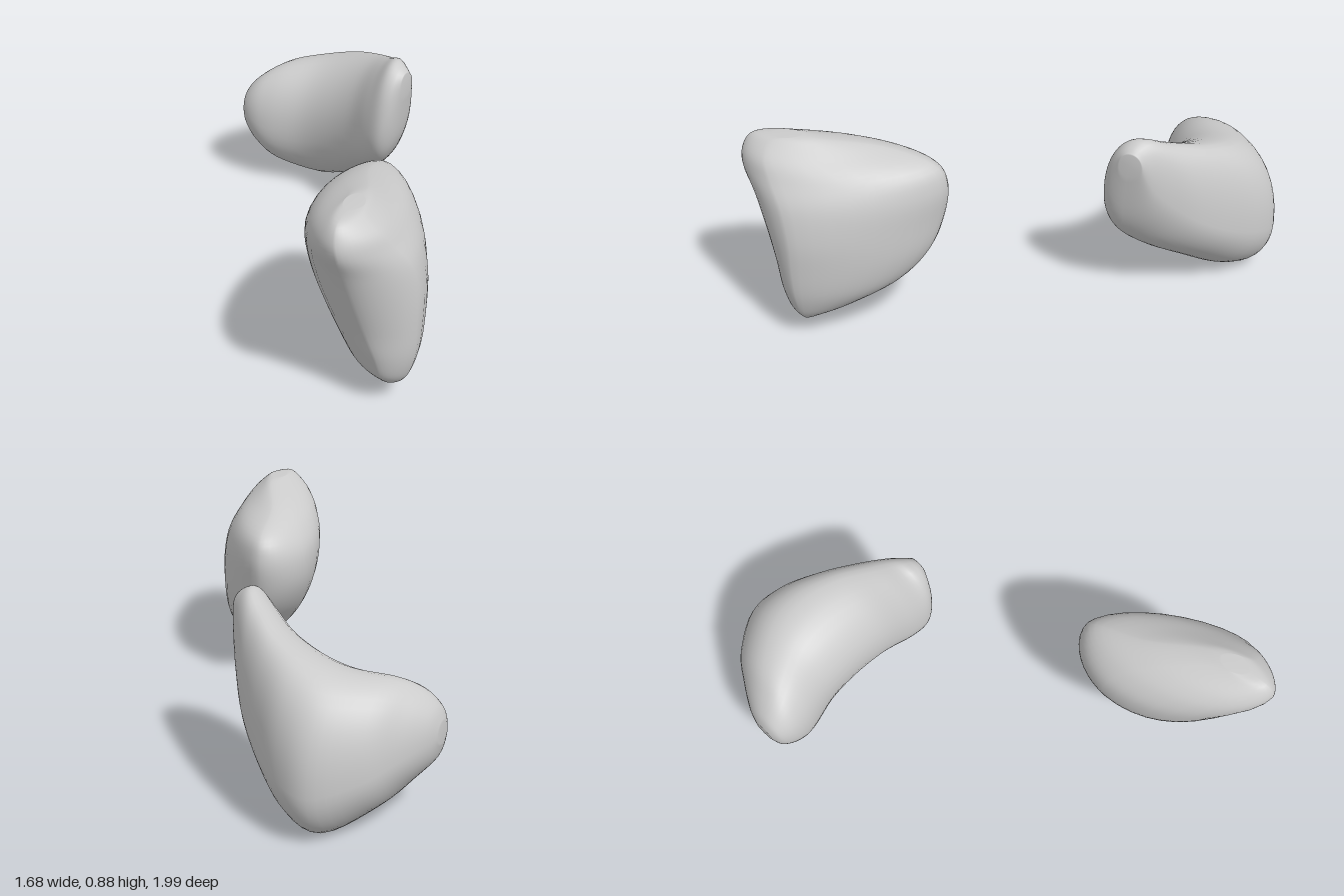
import * as THREE from 'three';

const SIDES = 40;
const STEPS = 50;

// Each section row: position on the axis, then the four extreme points of the
// outline as [aMin, b there, aMax, b there, bMin, a there, bMax, a there].

// Curved stone, sections along x with a = z and b = y
const curvedSections = [
  [-0.84, -0.58, 0.37, -0.49, 0.37, 0.33, -0.53, 0.42, -0.53],
  [-0.815, -0.65, 0.36, -0.445, 0.36, 0.255, -0.52, 0.48, -0.54],
  [-0.75, -0.765, 0.32, -0.42, 0.34, 0.175, -0.53, 0.545, -0.57],
  [-0.66, -0.89, 0.27, -0.425, 0.31, 0.085, -0.61, 0.595, -0.64],
  [-0.5, -0.995, 0.22, -0.465, 0.32, 0.0, -0.78, 0.63, -0.73],
  [-0.35, -0.965, 0.25, -0.46, 0.36, 0.045, -0.76, 0.67, -0.74],
  [-0.2, -0.86, 0.32, -0.425, 0.41, 0.15, -0.66, 0.715, -0.68],
  [-0.08, -0.75, 0.41, -0.37, 0.46, 0.245, -0.55, 0.765, -0.58],
  [0.0, -0.65, 0.51, -0.35, 0.51, 0.34, -0.46, 0.805, -0.51],
  [0.05, -0.58, 0.6, -0.375, 0.6, 0.46, -0.45, 0.79, -0.49],
  [0.08, -0.53, 0.71, -0.435, 0.71, 0.66, -0.47, 0.765, -0.48],
];

// Upright stone, sections along y with a = x and b = z
const uprightSections = [
  [0.085, 0.68, 0.7, 0.745, 0.7, 0.675, 0.71, 0.725, 0.72],
  [0.1, 0.63, 0.69, 0.77, 0.7, 0.64, 0.7, 0.75, 0.72],
  [0.15, 0.52, 0.64, 0.8, 0.7, 0.52, 0.64, 0.79, 0.72],
  [0.24, 0.42, 0.56, 0.825, 0.7, 0.36, 0.54, 0.82, 0.71],
  [0.36, 0.325, 0.48, 0.835, 0.7, 0.26, 0.46, 0.85, 0.68],
  [0.5, 0.265, 0.44, 0.835, 0.7, 0.215, 0.41, 0.895, 0.66],
  [0.64, 0.26, 0.44, 0.815, 0.73, 0.2, 0.4, 0.945, 0.65],
  [0.74, 0.315, 0.48, 0.775, 0.79, 0.25, 0.41, 0.99, 0.65],
  [0.81, 0.41, 0.58, 0.74, 0.83, 0.45, 0.46, 0.99, 0.64],
  [0.865, 0.54, 0.73, 0.68, 0.84, 0.66, 0.58, 0.95, 0.63],
  [0.878, 0.57, 0.79, 0.65, 0.8, 0.74, 0.6, 0.86, 0.62],
];

// Smooth interpolation of a whole section row
function sectionAt(rows, t) {
  const f = t * (rows.length - 1);
  const i = Math.min(Math.floor(f), rows.length - 2);
  const u = f - i;
  const row = (k) => rows[THREE.MathUtils.clamp(k, 0, rows.length - 1)];
  return rows[i].map((p1, c) => {
    const p0 = row(i - 1)[c], p2 = row(i + 1)[c], p3 = row(i + 2)[c];
    return 0.5 * (2 * p1 + (p2 - p0) * u + (2 * p0 - 5 * p1 + 4 * p2 - p3) * u * u
      + (3 * p1 - p0 - 3 * p2 + p3) * u * u * u);
  });
}

// Outline point: four quarter curves joined at the extreme points, each with
// its own fullness (below 1 is fuller than an ellipse, above 1 is flatter)
function outlinePoint(s, i, powers) {
  const angle = (i / SIDES) * Math.PI * 2;
  const power = powers[Math.floor((i * 4) / SIDES)];
  const c = Math.cos(angle), n = Math.sin(angle);
  const [aEnd, bMid] = c >= 0 ? [s[3], s[4]] : [s[1], s[2]];
  const [bEnd, aMid] = n >= 0 ? [s[7], s[8]] : [s[5], s[6]];
  return [
    aMid + (aEnd - aMid) * Math.abs(c) ** power,
    bMid + (bEnd - bMid) * Math.abs(n) ** power,
  ];
}

// Closed skin over the sections; place() maps (axis, a, b) to x, y, z
function stoneGeometry(rows, place, powers) {
  const positions = [], index = [];
  const centres = [];
  for (let k = 0; k <= STEPS; k++) {
    const s = sectionAt(rows, k / STEPS);
    if (k === 0 || k === STEPS) {
      centres.push(place(s[0], (s[1] + s[3]) / 2, (s[5] + s[7]) / 2));
    }
    for (let i = 0; i < SIDES; i++) {
      positions.push(...place(s[0], ...outlinePoint(s, i, powers)));
    }
  }
  const first = (STEPS + 1) * SIDES, last = first + 1;
  centres.forEach((p) => positions.push(...p));
  for (let i = 0; i < SIDES; i++) {
    const j = (i + 1) % SIDES;
    for (let k = 0; k < STEPS; k++) {
      const lo = k * SIDES, hi = lo + SIDES;
      index.push(lo + i, hi + i, lo + j, lo + j, hi + i, hi + j);
    }
    // End caps
    index.push(first, i, j);
    index.push(last, STEPS * SIDES + j, STEPS * SIDES + i);
  }
  const geometry = new THREE.BufferGeometry();
  geometry.setAttribute('position', new THREE.Float32BufferAttribute(positions, 3));
  geometry.setIndex(index);
  geometry.computeVertexNormals();
  return geometry;
}

export function createModel() {
  const group = new THREE.Group();
  const material = new THREE.MeshStandardMaterial({ color: 0xcccccc });

  const curved = new THREE.Mesh(
    stoneGeometry(curvedSections, (x, z, y) => [x, y, z], [0.95, 0.95, 0.95, 0.95]), material);
  curved.name = 'curvedStone';

  const upright = new THREE.Mesh(
    stoneGeometry(uprightSections, (y, x, z) => [x, y, z], [1.22, 1.1, 1.0, 1.36]), material);
  upright.name = 'uprightStone';

  group.add(curved, upright);
  return group;
}
